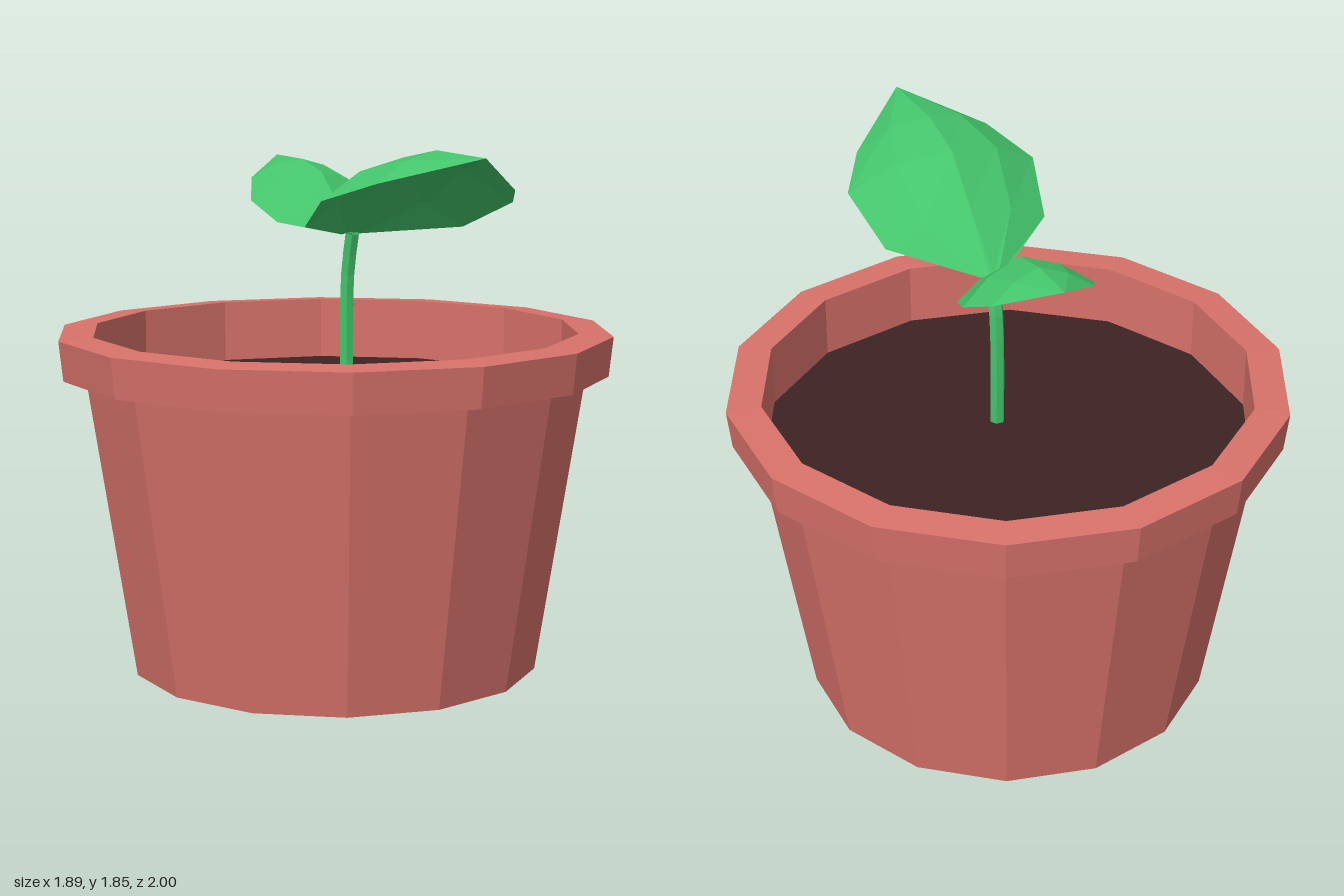
import * as THREE from 'three';

const mat = (name, color, side = THREE.FrontSide) => {
  const m = new THREE.MeshStandardMaterial({ color, flatShading: true, side });
  m.name = name;
  return m;
};

function mesh(name, geometry, material, parent) {
  const m = new THREE.Mesh(geometry, material);
  m.name = name;
  parent.add(m);
  return m;
}

// Arched leaf: each row is [edge, spine, other edge]; halfway points bulge upward.
function leafGeometry(rows) {
  const pos = [], index = [];
  const halfway = (spine, edge) => {
    const p = spine.clone().lerp(edge, 0.54);
    p.y += 0.24 * (spine.y - edge.y);
    return p;
  };
  for (const row of rows) {
    const [a, s, b] = row.map(p => new THREE.Vector3(...p));
    for (const p of [a, halfway(s, a), s, halfway(s, b), b]) pos.push(p.x, p.y, p.z);
  }
  for (let i = 0; i < rows.length - 1; i++) {
    for (let j = 0; j < 4; j++) {
      const a = i * 5 + j, b = a + 1, c = a + 5, d = a + 6;
      index.push(a, c, b);
      if (i < rows.length - 2) index.push(b, c, d); // last row is the tip
    }
  }
  const g = new THREE.BufferGeometry();
  g.setAttribute('position', new THREE.Float32BufferAttribute(pos, 3));
  g.setIndex(index);
  const flat = g.toNonIndexed();
  flat.computeVertexNormals();
  return flat;
}

export function createModel() {
  const model = new THREE.Group();
  model.name = 'pottedSeedling';
  const clay = mat('terracotta', 0xd8726a);
  const earth = mat('soil', 0x3d2323);
  const green = mat('leafGreen', 0x44c46b, THREE.DoubleSide);

  // Fourteen-sided pot with an overhanging rim
  const profile = [
    [0, 0], [0.713, 0], [0.875, 1.035], [0.955, 1.045],
    [0.97, 1.183], [0.85, 1.191], [0.85, 0.95],
  ].map(([r, y]) => new THREE.Vector2(r, y));
  const pot = new THREE.Group();
  pot.name = 'pot';
  pot.position.z = -0.03;
  model.add(pot);
  mesh('potBody', new THREE.LatheGeometry(profile, 14), clay, pot);

  // Soil disc
  const soil = mesh('soil', new THREE.CylinderGeometry(0.85, 0.85, 0.02, 14), earth, pot);
  soil.position.y = 0.96;

  // Stem, bending slightly forward
  const path = new THREE.CatmullRomCurve3([
    [0, 0.95, 0.06], [0, 1.2, 0.057], [0, 1.4, 0.067], [0, 1.535, 0.098],
  ].map(p => new THREE.Vector3(...p)));
  mesh('stem', new THREE.TubeGeometry(path, 8, 0.026, 6), green, model);

  // Large leaf toward the front
  const tipA = [-0.04, 1.84, 1.0];
  mesh('largeLeaf', leafGeometry([
    [[-0.03, 1.53, 0.08], [0, 1.535, 0.085], [0.03, 1.53, 0.08]],
    [[-0.3, 1.585, 0.31], [-0.01, 1.685, 0.29], [0.28, 1.565, 0.36]],
    [[-0.37, 1.69, 0.55], [-0.03, 1.815, 0.49], [0.31, 1.665, 0.62]],
    [[-0.28, 1.755, 0.75], [-0.04, 1.85, 0.71], [0.2, 1.72, 0.8]],
    [tipA, tipA, tipA],
  ]), green, model);

  // Small leaf toward the back
  const tipB = [0.02, 1.77, -0.49];
  mesh('smallLeaf', leafGeometry([
    [[0.035, 1.53, 0.08], [0, 1.535, 0.09], [-0.035, 1.53, 0.08]],
    [[0.2, 1.55, -0.05], [0.01, 1.635, -0.03], [-0.19, 1.565, -0.09]],
    [[0.245, 1.62, -0.2], [0.015, 1.73, -0.15], [-0.21, 1.63, -0.25]],
    [[0.2, 1.68, -0.33], [0.02, 1.765, -0.3], [-0.14, 1.7, -0.38]],
    [tipB, tipB, tipB],
  ]), green, model);

  return model;
}
